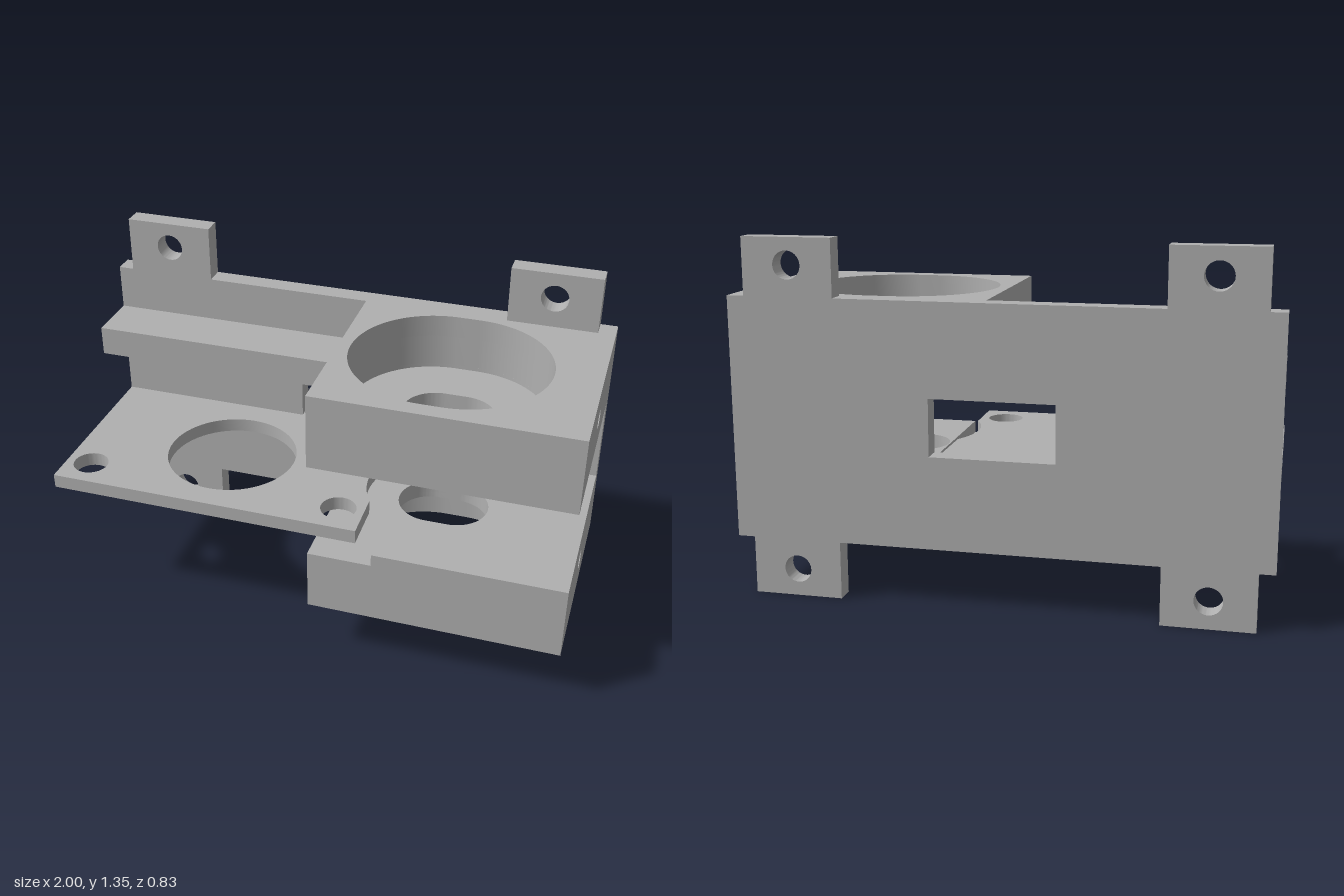
import * as THREE from 'three';
import { toCreasedNormals } from 'three/addons/utils/BufferGeometryUtils.js';

const CX = 0.46, CZ = 0.02;        // axis of the pockets and slots
const X0 = 0.045, X1 = 1;          // block extent in x
const BACK = -0.34, FRONT = 0.415; // block extent in z
const HOLE_HALF = 0.06;            // half size of the insert carrying the side hole

const polygon = (pts) => new THREE.Shape(pts.map(([x, y]) => new THREE.Vector2(x, y)));
const rect = (x0, x1, y0, y1) => polygon([[x0, y0], [x1, y0], [x1, y1], [x0, y1]]);

function circle(x, y, r) {
  const p = new THREE.Path();
  p.absarc(x, y, r, 0, Math.PI * 2, false);
  return p;
}

// Rounded slot elongated along x
function slot(x, y, r, off) {
  const p = new THREE.Path();
  p.absarc(x + off, y, r, -Math.PI / 2, Math.PI / 2, false);
  p.absarc(x - off, y, r, Math.PI / 2, Math.PI * 1.5, false);
  p.closePath();
  return p;
}

function extrude(shape, depth, holes = []) {
  shape.holes.push(...holes);
  return new THREE.ExtrudeGeometry(shape, { depth, bevelEnabled: false, curveSegments: 32 });
}

export function createModel() {
  const model = new THREE.Group();
  model.name = 'mountingBracket';
  const grey = new THREE.MeshStandardMaterial({ color: 0xb0b0b0 });
  grey.name = 'grey';

  const add = (name, geometry, parent = model) => {
    const mesh = new THREE.Mesh(toCreasedNormals(geometry, 0.5), grey);
    mesh.name = name;
    parent.add(mesh);
  };

  // Horizontal slab: shape drawn in x and z, filling y0 to y1
  const slab = (name, shape, y0, y1, holes, parent) =>
    add(name, extrude(shape, y1 - y0, holes).rotateX(Math.PI / 2).translate(0, y1, 0), parent);

  // Back plate with four screw tabs and a window
  const plate = polygon([
    [-1, 0.22], [-0.94, 0.22], [-0.94, 0], [-0.6, 0], [-0.6, 0.22],
    [0.595, 0.22], [0.595, 0], [0.935, 0], [0.935, 0.22], [1, 0.22],
    [1, 1.135], [0.935, 1.135], [0.935, 1.35], [0.595, 1.35], [0.595, 1.135],
    [-0.6, 1.135], [-0.6, 1.35], [-0.94, 1.35], [-0.94, 1.135], [-1, 1.135],
  ]);
  const plateHoles = [rect(-0.22, 0.245, 0.57, 0.785)];
  for (const x of [-0.77, 0.765]) for (const y of [0.105, 1.25]) plateHoles.push(circle(x, y, 0.052));
  add('backPlate', extrude(plate, 0.075, plateHoles).translate(0, 0, -0.415));

  // Ledge along the upper part of the plate
  slab('ledge', rect(-1, X0, BACK, -0.13), 0.845, 0.96);

  // Shelf with a large opening, two screw holes and a curved relief in its end
  const shelf = new THREE.Shape();
  const reliefAngle = Math.asin(0.1525 / 0.29);
  shelf.moveTo(-1, BACK);
  shelf.lineTo(0.215, BACK);
  shelf.absarc(CX, CZ, 0.29, Math.PI + reliefAngle, Math.PI - reliefAngle, true);
  shelf.lineTo(0.215, 0.37);
  shelf.lineTo(-1, 0.37);
  shelf.closePath();
  slab('shelf', shelf, 0.515, 0.57, [
    circle(-0.395, CZ, 0.255), circle(-0.9, 0.25, 0.068), circle(0.115, 0.25, 0.068),
  ]);

  // Pocket wall outline left open at +x for the side hole insert
  const openWall = () => {
    const r = 0.33, off = 0.04, z = CZ, a = Math.asin(HOLE_HALF / r);
    const s = new THREE.Shape();
    s.moveTo(X1, z + HOLE_HALF);
    s.lineTo(X1, FRONT);
    s.lineTo(X0, FRONT);
    s.lineTo(X0, BACK);
    s.lineTo(X1, BACK);
    s.lineTo(X1, z - HOLE_HALF);
    s.absarc(CX + off, z, r, -a, -Math.PI / 2, true);
    s.absarc(CX - off, z, r, -Math.PI / 2, -Math.PI * 1.5, true);
    s.absarc(CX + off, z, r, Math.PI / 2, a, true);
    s.closePath();
    return s;
  };

  // Walls around a pocket, with a round hole through the +x side
  const pocketWalls = (parent, y0, y1, holeY) => {
    const pocket = () => [slot(CX, CZ, 0.33, 0.04)];
    const full = () => rect(X0, X1, BACK, FRONT);
    const lo = holeY - HOLE_HALF, hi = holeY + HOLE_HALF;
    slab('wallBelowHole', full(), y0, lo, pocket(), parent);
    slab('wallAtHole', openWall(), lo, hi, [], parent);
    slab('wallAboveHole', full(), hi, y1, pocket(), parent);
    const insert = rect(-CZ - HOLE_HALF, -CZ + HOLE_HALF, lo, hi);
    const geometry = extrude(insert, X1 - 0.827, [circle(-CZ, holeY, 0.04)]);
    add('sideHole', geometry.rotateY(Math.PI / 2).translate(0.827, 0, 0), parent);
  };
  const smallSlot = () => [slot(0.465, CZ, 0.13, 0.042)];

  // Upper block: pocket opens upward
  const upper = new THREE.Group();
  upper.name = 'upperBlock';
  model.add(upper);
  slab('floor', rect(X0, X1, BACK, FRONT), 0.845, 0.915, smallSlot(), upper);
  pocketWalls(upper, 0.915, 1.135, 0.99);

  // Lower block: pocket opens downward, top is stepped beneath the shelf
  const lower = new THREE.Group();
  lower.name = 'lowerBlock';
  model.add(lower);
  pocketWalls(lower, 0.22, 0.44, 0.365);
  slab('roof', rect(X0, X1, BACK, FRONT), 0.44, 0.462, smallSlot(), lower);
  slab('raisedTop', rect(0.288, X1, BACK, FRONT), 0.462, 0.51, smallSlot(), lower);

  return model;
}
